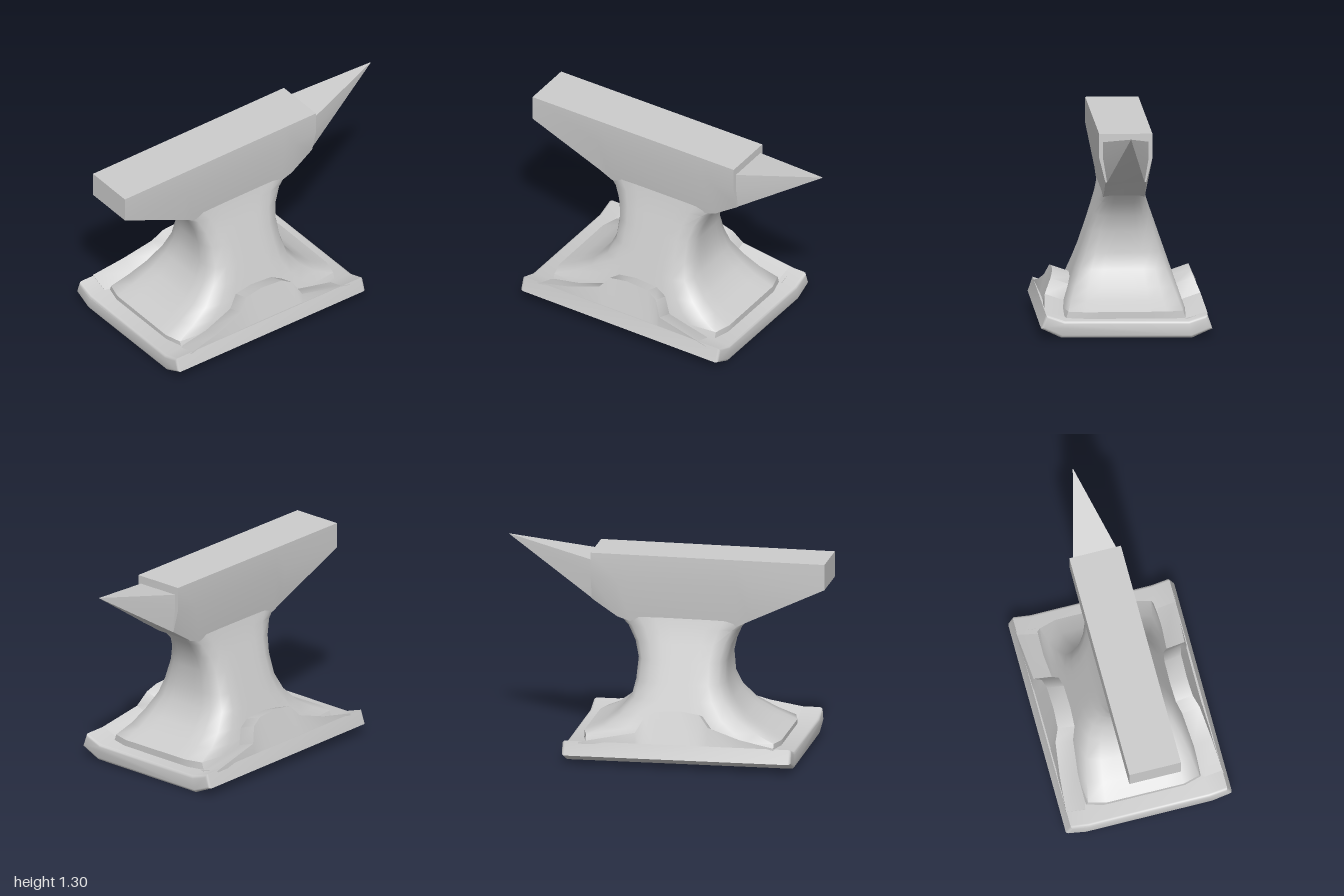
import * as THREE from 'three';
import { toCreasedNormals } from 'three/addons/utils/BufferGeometryUtils.js';

const material = new THREE.MeshStandardMaterial({ color: 0xcccccc });

// Skin closed rings of equal length; rings run counter-clockwise about the loft direction.
function loft(rings, crease) {
  const n = rings[0].length, index = [];
  for (let i = 0; i < rings.length - 1; i++) {
    for (let j = 0; j < n; j++) {
      const a = i * n + j, b = i * n + (j + 1) % n;
      index.push(a, b, b + n, a, b + n, a + n);
    }
  }
  const last = (rings.length - 1) * n;
  for (let j = 1; j < n - 1; j++) {
    index.push(0, j + 1, j, last, last + j, last + j + 1);
  }
  const geometry = new THREE.BufferGeometry();
  geometry.setAttribute('position', new THREE.Float32BufferAttribute(rings.flat(2), 3));
  geometry.setIndex(index);
  return toCreasedNormals(geometry, crease);
}

function addPart(group, name, geometry) {
  const mesh = new THREE.Mesh(geometry, material);
  mesh.name = name;
  group.add(mesh);
}

// Plate with bevelled flanks and raised side lips, sitting slightly askew
function baseGeometry() {
  const shape = new THREE.Shape([
    [-0.4, 0.008], [0.4, 0.008], [0.525, 0.065], [0.495, 0.152],
    [0.38, 0.113], [-0.38, 0.113], [-0.495, 0.152], [-0.525, 0.065],
  ].map(([x, y]) => new THREE.Vector2(x, y)));
  const bevel = 0.018;
  const geometry = new THREE.ExtrudeGeometry(shape, {
    depth: 1.43 - 2 * bevel, bevelThickness: bevel, bevelSize: bevel,
    bevelOffset: -bevel, bevelSegments: 3,
  });
  geometry.translate(0, 0, -0.57 + bevel);
  const p = geometry.attributes.position;
  for (let i = 0; i < p.count; i++) {
    p.setY(i, p.getY(i) + 0.01 * p.getZ(i) + 0.008 * p.getX(i));
  }
  return toCreasedNormals(geometry, 0.7);
}

// Waist: squarish rings that sweep in from the foot and out to the head
function waistGeometry() {
  // y, front z, back z, squareness
  const rows = [
    [0.08, 0.75, -0.48, 14], [0.15, 0.75, -0.48, 14], [0.2, 0.64, -0.37, 10],
    [0.27, 0.52, -0.28, 8], [0.37, 0.43, -0.2, 6], [0.47, 0.39, -0.18, 5],
    [0.6, 0.385, -0.17, 5], [0.7, 0.41, -0.195, 5], [0.79, 0.45, -0.24, 6],
    [0.87, 0.53, -0.32, 8],
  ];
  const sides = 32;
  const rings = rows.map(([y, front, back, power]) => {
    const w = 0.127 + Math.max(0, 0.85 - y) * 0.347;
    const ring = [];
    for (let j = 0; j < sides; j++) {
      const t = (j / sides) * Math.PI * 2, c = Math.cos(t), s = Math.sin(t);
      const r = 1 / (Math.abs(c) ** power + Math.abs(s) ** power) ** (1 / power);
      ring.push([w * r * s, y, (front + back) / 2 + ((front - back) / 2) * r * c]);
    }
    return ring;
  });
  return loft(rings, 1);
}

// Head with pointed horn at the back, a small step, and the square heel at the front
function headGeometry() {
  // z, top y, shoulder y, bottom y, top half width, bottom half width
  const sections = [
    [-1, 1.3, 1.299, 1.298, 0.001, 0.001],
    [-0.46, 1.2, 1.1, 0.95, 0.14, 0.115],
    [-0.459, 1.25, 1.1, 0.95, 0.163, 0.125],
    [-0.3, 1.25, 1.09, 0.845, 0.163, 0.127],
    [-0.22, 1.25, 1.09, 0.82, 0.163, 0.127],
    [0.45, 1.25, 1.09, 0.82, 0.163, 0.127],
    [0.53, 1.25, 1.09, 0.86, 0.163, 0.128],
    [1, 1.25, 1.095, 1.09, 0.163, 0.163],
  ];
  return loft(sections.map(([z, top, mid, bottom, w, wb]) => [
    [w, mid, z], [w, top, z], [-w, top, z], [-w, mid, z], [-wb, bottom, z], [wb, bottom, z],
  ]), 0.7);
}

// Side skirt: a sloping flank that swells into a mound beside the waist
function skirtGeometry(side) {
  // z, height of the outer edge
  const crest = [
    [-0.47, 0.14], [-0.12, 0.21], [-0.07, 0.3], [0, 0.335], [0.15, 0.345],
    [0.27, 0.33], [0.33, 0.26], [0.53, 0.2], [0.75, 0.16],
  ];
  return loft(crest.map(([z, y]) => {
    const outer = 0.5 - Math.max(0, y - 0.155) * 0.42;
    const ring = [
      [side * 0.5, 0.1, z], [side * outer, y, z],
      [side * (outer - 0.115), y - 0.04, z], [side * (outer - 0.2), 0.09, z],
    ];
    return side > 0 ? ring : ring.reverse();
  }), 0.8);
}

export function createModel() {
  const anvil = new THREE.Group();
  anvil.name = 'anvil';
  addPart(anvil, 'basePlate', baseGeometry());
  addPart(anvil, 'waist', waistGeometry());
  addPart(anvil, 'headAndHorn', headGeometry());
  addPart(anvil, 'leftSkirt', skirtGeometry(1));
  addPart(anvil, 'rightSkirt', skirtGeometry(-1));
  return anvil;
}
